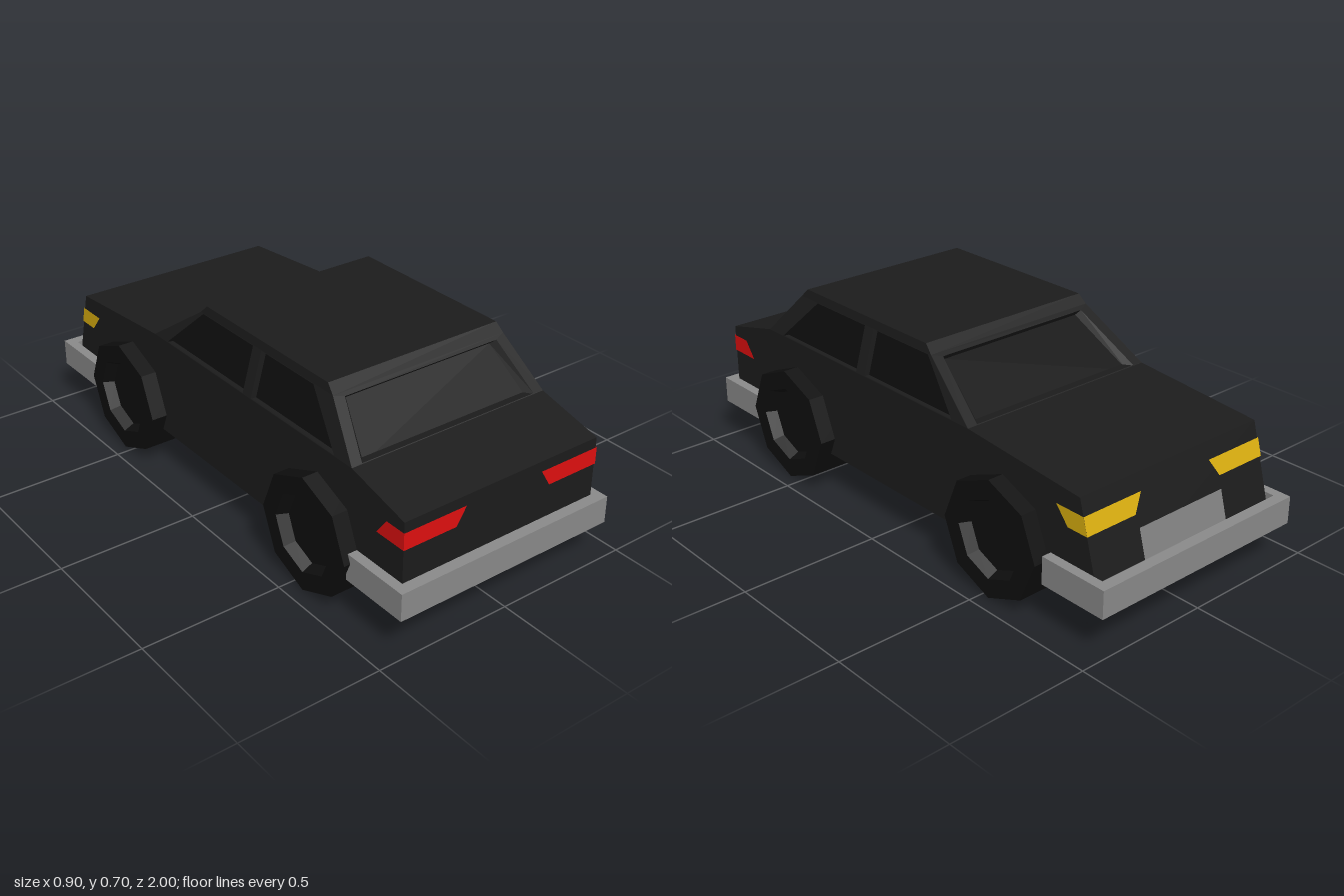
import * as THREE from 'three';

const mat = (color, side = THREE.FrontSide) =>
  new THREE.MeshStandardMaterial({ color, flatShading: true, side });
const paint = mat(0x1c1c1c);
const paintPanel = mat(0x1c1c1c, THREE.DoubleSide);
const glass = mat(0x0e0e0e, THREE.DoubleSide);
const rubber = mat(0x0f0f0f);
const chrome = mat(0x8a8a8a);
const plateGrey = mat(0x808080, THREE.DoubleSide);
const red = mat(0xe01010, THREE.DoubleSide);
const yellow = mat(0xdcb010, THREE.DoubleSide);

const toShape = pts => new THREE.Shape(pts.map(p => new THREE.Vector2(...p)));

function add(parent, name, geometry, material) {
  const mesh = new THREE.Mesh(geometry, material);
  mesh.name = name;
  parent.add(mesh);
  return mesh;
}

// Flat outline with holes, placed in space by map(u, v) -> [x, y, z]
function panel(map, outline, holes = []) {
  const shape = toShape(outline);
  holes.forEach(h => shape.holes.push(toShape(h)));
  const geo = new THREE.ShapeGeometry(shape);
  const p = geo.attributes.position;
  for (let i = 0; i < p.count; i++) p.setXYZ(i, ...map(p.getX(i), p.getY(i)));
  geo.computeVertexNormals();
  return geo;
}

// Strip joining an opening to its recessed pane
function reveal(outer, inner) {
  const pos = [];
  outer.forEach((a, i) => {
    const j = (i + 1) % outer.length;
    pos.push(...a, ...outer[j], ...inner[j], ...a, ...inner[j], ...inner[i]);
  });
  const geo = new THREE.BufferGeometry();
  geo.setAttribute('position', new THREE.Float32BufferAttribute(pos, 3));
  geo.computeVertexNormals();
  return geo;
}

// One cabin side with recessed windows; inward is the recess offset
function cabinSide(parent, name, map, outline, windows, inward, shrink) {
  add(parent, name + 'Frame', panel(map, outline, windows), paintPanel);
  windows.forEach(w => {
    const mid = w.reduce((s, p) => s + p[0], 0) / w.length;
    const deep = (u, v) =>
      map(mid + (u - mid) * shrink, v).map((c, i) => c + inward[i]);
    add(parent, name + 'Reveal',
      reveal(w.map(p => map(...p)), w.map(p => deep(...p))), paintPanel);
    add(parent, name + 'Window', panel(deep, w), glass);
  });
}

export function createModel() {
  const car = new THREE.Group();
  car.name = 'car';

  // Lower body: side profile (z, y) extruded across the width
  const body = new THREE.ExtrudeGeometry(toShape([
    [-0.953, 0.14], [0.96, 0.14], [0.96, 0.45], [0.72, 0.51],
    [-0.37, 0.51], [-0.86, 0.47]]), { depth: 0.78, bevelEnabled: false });
  body.rotateY(-Math.PI / 2).translate(0.39, 0, 0);
  add(car, 'body', body, paint);

  // Cabin: four sloping sides
  const cabin = new THREE.Group();
  cabin.name = 'cabin';
  car.add(cabin);
  const t = y => (y - 0.51) / 0.16;
  const sideOutline = [[0.72, 0.51], [0.57, 0.67], [-0.14, 0.67], [-0.37, 0.51]];
  const sideWindows = [
    [[0.635, 0.512], [0.475, 0.668], [0.205, 0.668], [0.205, 0.512]],
    [[0.16, 0.512], [0.16, 0.668], [-0.125, 0.668], [-0.29, 0.512]]];
  for (const [s, name] of [[1, 'left'], [-1, 'right']]) {
    cabinSide(cabin, name, (z, y) => [s * (0.39 - 0.045 * t(y)), y, z],
      sideOutline, sideWindows, [-0.02 * s, -0.005, 0], 1);
  }
  const endOutline = [[-0.39, 0.51], [0.39, 0.51], [0.345, 0.67], [-0.345, 0.67]];
  const endWindow = [[-0.35, 0.512], [0.35, 0.512], [0.307, 0.66], [-0.307, 0.66]];
  cabinSide(cabin, 'tail', (x, y) => [x, y, 0.72 - 0.15 * t(y)],
    endOutline, [endWindow], [0, -0.015, -0.016], 0.95);
  cabinSide(cabin, 'windscreen', (x, y) => [x, y, -0.37 + 0.23 * t(y)],
    endOutline, [endWindow], [0, -0.017, 0.012], 0.95);

  // Roof: shallow box tapered at the top
  const roof = new THREE.BoxGeometry(2, 2, 2);
  const p = roof.attributes.position;
  for (let i = 0; i < p.count; i++) {
    const top = p.getY(i) > 0, rear = p.getZ(i) > 0;
    p.setXYZ(i, Math.sign(p.getX(i)) * (top ? 0.34 : 0.345), top ? 0.7 : 0.67,
      rear ? (top ? 0.54 : 0.57) : (top ? -0.11 : -0.14));
  }
  add(cabin, 'roof', roof, paint);

  // Wrap-around bumpers: U shape in plan
  for (const [s, name, inner] of [[1, 'tailBumper', 0.96], [-1, 'noseBumper', 0.96]]) {
    const u = [[-0.425, 0.745], [-0.39, 0.745], [-0.39, inner], [0.39, inner],
      [0.39, 0.745], [0.425, 0.745], [0.425, 1], [-0.425, 1]];
    const geo = new THREE.ExtrudeGeometry(toShape(u.map(([x, z]) => [x, z * s])),
      { depth: 0.097, bevelEnabled: false });
    geo.rotateX(Math.PI / 2).translate(0, 0.238, 0);
    add(car, name, geo, chrome);
  }

  // Lamps wrap round the corners
  const noseZ = y => -0.86 - (0.47 - y) * 0.283;
  const endLamp = [[0.153, 0.415], [0.392, 0.415], [0.392, 0.355], [0.19, 0.355]];
  const tailSide = [[0.963, 0.415], [0.885, 0.415], [0.84, 0.355], [0.963, 0.355]];
  const noseSide = [[-0.765, 0.415], [-0.878, 0.415], [-0.895, 0.355], [-0.815, 0.355]];
  for (const s of [1, -1]) {
    const onSide = (z, y) => [s * 0.392, y, z];
    add(car, 'tailLamp', panel((x, y) => [s * x, y, 0.963], endLamp), red);
    add(car, 'tailLampSide', panel(onSide, tailSide), red);
    add(car, 'headlamp', panel((x, y) => [s * x, y, noseZ(y) - 0.003], endLamp), yellow);
    add(car, 'headlampSide', panel(onSide, noseSide), yellow);
  }

  // Blank plate on the nose
  add(car, 'nosePlate', panel((x, y) => [x, y, noseZ(y) - 0.006],
    [[-0.185, 0.15], [0.185, 0.15], [0.185, 0.315], [-0.185, 0.315]]), plateGrey);

  // Eight-sided wheels with a dished hub
  const wheelGeo = new THREE.LatheGeometry([
    [0, 0.21], [0.208, 0.21], [0.208, 0.448], [0.14, 0.448], [0.122, 0.41], [0, 0.41],
  ].map(q => new THREE.Vector2(...q)), 8);
  for (const s of [1, -1]) {
    for (const [z, name] of [[0.555, 'tailWheel'], [-0.53, 'noseWheel']]) {
      const wheel = add(car, name, wheelGeo, rubber);
      wheel.rotation.z = -s * Math.PI / 2;
      wheel.position.set(0, 0.208, z);
    }
  }
  return car;
}
